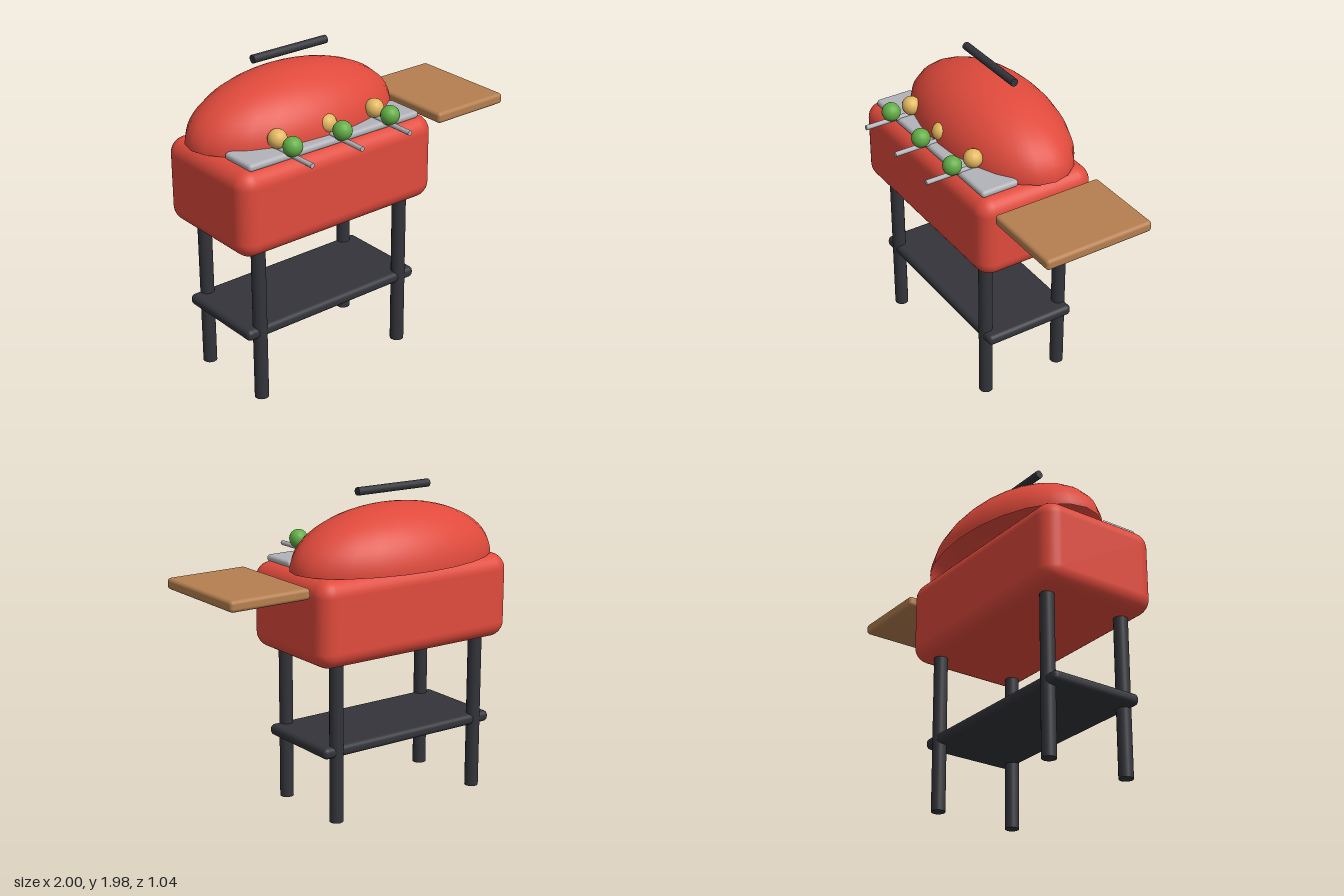
import * as THREE from 'three';
import { RoundedBoxGeometry } from 'three/addons/geometries/RoundedBoxGeometry.js';

const CX = -0.295; // centre of the cooking body
const CZ = -0.03;

export function createModel() {
  const group = new THREE.Group();
  const mat = (color) => new THREE.MeshStandardMaterial({ color });
  const red = mat(0xe04a3c);
  const black = mat(0x33343a);
  const wood = mat(0xb57f50);
  const steel = mat(0xb2b4b9);
  const green = mat(0x62ad45);
  const yellow = mat(0xe3b75f);

  const add = (name, geometry, material, x, y, z) => {
    const mesh = new THREE.Mesh(geometry, material);
    mesh.name = name;
    mesh.position.set(x, y, z);
    group.add(mesh);
    return mesh;
  };
  const slab = (w, h, d, r) => new RoundedBoxGeometry(w, h, d, 4, r);

  // Firebox and half-ellipsoid lid set back on top of it
  add('firebox', slab(1.41, 0.53, 0.775, 0.1), red, CX, 1.243, CZ);
  const lidMaterial = mat(0xe04a3c);
  lidMaterial.side = THREE.DoubleSide;
  const dome = new THREE.SphereGeometry(1, 24, 16, 0, Math.PI * 2, 0, Math.PI / 2);
  dome.scale(0.705, 0.352, 0.385);
  add('lid', dome, lidMaterial, CX, 1.508, -0.136);

  // Bar handle above the lid
  const bar = new THREE.CylinderGeometry(0.025, 0.025, 0.53, 16).rotateZ(Math.PI / 2);
  add('lidHandle', bar, black, CX, 1.95, -0.136);

  // Legs and lower shelf
  const leg = new THREE.CylinderGeometry(0.043, 0.043, 1.0, 16);
  for (const sx of [-1, 1]) {
    for (const sz of [-1, 1]) add('leg', leg, black, CX + sx * 0.53, 0.5, CZ + sz * 0.266);
  }
  add('lowerShelf', slab(1.27, 0.07, 0.6, 0.03), black, CX, 0.447, CZ);

  // Wooden side table and cooking plate
  add('sideTable', slab(0.53, 0.068, 0.705, 0.022), wood, 0.735, 1.455, CZ);
  add('cookingPlate', slab(1.235, 0.044, 0.245, 0.02), steel, CX, 1.521, 0.182);

  // Skewers with vegetables
  const rod = new THREE.CylinderGeometry(0.015, 0.015, 0.53, 12).rotateX(Math.PI / 2);
  const ball = new THREE.SphereGeometry(0.058, 16, 12);
  for (const i of [-1, 0, 1]) {
    const x = CX + i * 0.354;
    add('skewer', rod, steel, x, 1.544, 0.255);
    add('greenVegetable', ball, green, x, 1.6, 0.345);
    add('yellowVegetable', ball, yellow, x, 1.6, 0.205);
  }
  return group;
}
